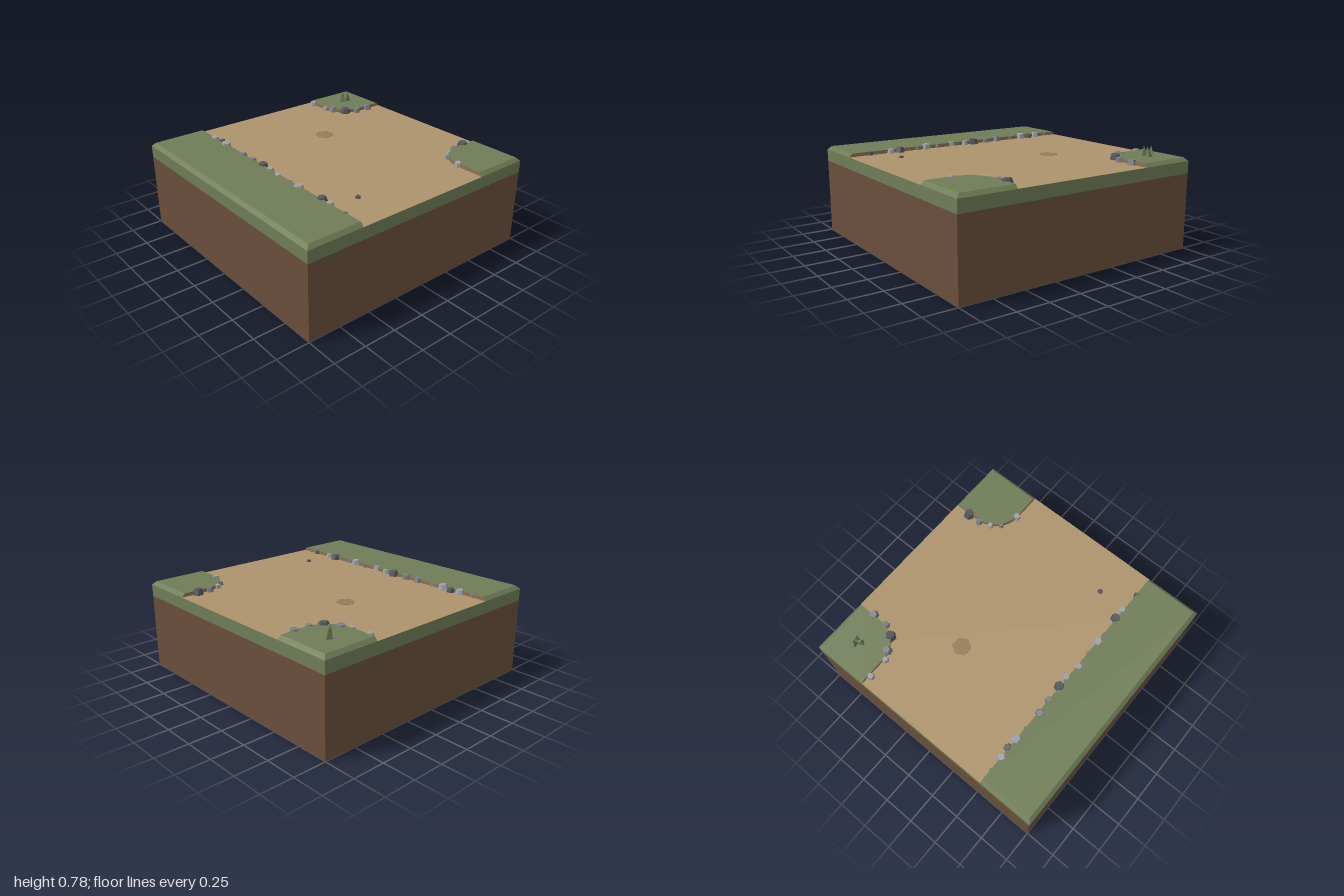
import * as THREE from 'three';

const GROUND = 0.673, TOP = 0.70, RIM = 0.973;
const mat = (color) => new THREE.MeshStandardMaterial({ color, flatShading: true });

export function createModel() {
  const group = new THREE.Group();
  const soil = mat(0x6a4f3b), grass = mat(0x707d57), sand = mat(0xae936d);
  const bank = mat(0x8f7250), mud = mat(0x957b58);
  const stones = [mat(0x56585f), mat(0x7c7e85), mat(0xa0a2a8)];

  const add = (name, geometry, material, x = 0, y = 0, z = 0, parent = group) => {
    const mesh = new THREE.Mesh(geometry, material);
    mesh.name = name;
    mesh.position.set(x, y, z);
    parent.add(mesh);
    return mesh;
  };

  // Block: soil below, turf band above with a sandy path on its top face
  add('soilBlock', new THREE.BoxGeometry(2, 0.58, 2), soil, 0, 0.29, 0);
  add('turfBand', new THREE.BoxGeometry(2, GROUND - 0.58, 2),
    [grass, grass, sand, grass, grass, grass], 0, (GROUND + 0.58) / 2, 0);

  // Raised turf: convex outline, bevelled along the block's edge, earth bank inside
  const turf = (name, outline) => {
    const clamp = (v) => THREE.MathUtils.clamp(v, -RIM, RIM);
    const low = outline.map(([x, z]) => [x, GROUND, z]);
    const high = outline.map(([x, z]) => [clamp(x), TOP, clamp(z)]);
    const green = [], brown = [];
    for (let i = 0; i < outline.length; i++) {
      const j = (i + 1) % outline.length;
      const onRim = [0, 1].some((k) =>
        Math.abs(outline[i][k]) === 1 && outline[i][k] === outline[j][k]);
      (onRim ? green : brown).push(
        ...low[i], ...low[j], ...high[j], ...low[i], ...high[j], ...high[i]);
      if (i > 0 && j > 0) green.push(...high[0], ...high[i], ...high[j]);
    }
    const part = new THREE.Group();
    part.name = name;
    for (const [label, data, material] of [['grassTop', green, grass], ['earthBank', brown, bank]]) {
      const g = new THREE.BufferGeometry();
      g.setAttribute('position', new THREE.Float32BufferAttribute(data, 3));
      g.computeVertexNormals();
      add(label, g, material, 0, 0, 0, part);
    }
    group.add(part);
  };

  // Outlines run counter-clockwise seen from above
  turf('leftTurfStrip', [[-1, 1], [-0.56, 1], [-0.56, -1], [-1, -1]]);
  const corner = [[1, 1], [1, 0.56]];
  for (let i = 0; i <= 8; i++) {
    const a = (i / 8) * Math.PI / 2;
    corner.push([0.78 - 0.22 * Math.sin(a), 0.78 - 0.22 * Math.cos(a)]);
  }
  corner.push([0.56, 1]);
  turf('frontCornerTurf', corner);
  turf('backCornerTurf', corner.map(([x, z]) => [x, -z]).reverse());

  // Edging stones: [x, z, radius, shade 0 dark to 2 light]
  const rows = {
    stripStone: [
      [-0.565, -0.88, 0.022, 1], [-0.56, -0.77, 0.04, 2], [-0.55, -0.69, 0.035, 0],
      [-0.56, -0.61, 0.045, 2], [-0.568, -0.5, 0.025, 1], [-0.57, -0.355, 0.04, 1],
      [-0.56, -0.24, 0.037, 1], [-0.555, -0.11, 0.046, 0], [-0.55, -0.025, 0.033, 2],
      [-0.57, 0.095, 0.034, 2], [-0.563, 0.23, 0.025, 1], [-0.565, 0.335, 0.043, 2],
      [-0.568, 0.415, 0.025, 1], [-0.552, 0.575, 0.043, 0], [-0.55, 0.655, 0.033, 2],
      [-0.562, 0.825, 0.026, 0]],
    backCornerStone: [
      [0.545, -0.92, 0.034, 2], [0.55, -0.76, 0.029, 2], [0.59, -0.7, 0.042, 1],
      [0.647, -0.6, 0.048, 0], [0.735, -0.555, 0.035, 1], [0.86, -0.555, 0.041, 1]],
    frontCornerStone: [
      [0.565, 0.77, 0.036, 2], [0.613, 0.635, 0.026, 1], [0.675, 0.58, 0.028, 2],
      [0.765, 0.55, 0.031, 1], [0.867, 0.55, 0.048, 0]],
    looseStone: [[-0.33, 0.68, 0.025, 0]],
  };
  for (const [name, list] of Object.entries(rows)) {
    list.forEach(([x, z, r, shade], i) => {
      const top = name === 'looseStone' ? 0.687 : 0.68 + r * 0.75;
      const h = top - 0.66;
      const stone = add(name, new THREE.CylinderGeometry(r * 0.68, r, h, 6),
        stones[shade], x, 0.66 + h / 2, z);
      stone.rotation.set(0.08 * Math.sin(i * 2.3), i * 1.7, 0.08 * Math.cos(i * 3.1));
    });
  }

  // Flat patch of darker earth on the path
  add('mudPatch', new THREE.CylinderGeometry(0.073, 0.073, 0.003, 6), mud, 0.19, GROUND + 0.001, -0.325);

  // Tuft of three pointed, three-sided blades
  const tuft = new THREE.Group();
  tuft.name = 'grassTuft';
  [[0.76, -0.78, 0.15], [0.798, -0.815, -0.1], [0.812, -0.77, -0.15]].forEach(([x, z, lean], i) => {
    const blade = add('grassBlade', new THREE.ConeGeometry(0.03, 0.085, 3), grass, x, 0.737, z, tuft);
    blade.rotation.set(-lean, i * 1.3 + 0.4, lean);
  });
  group.add(tuft);

  return group;
}
